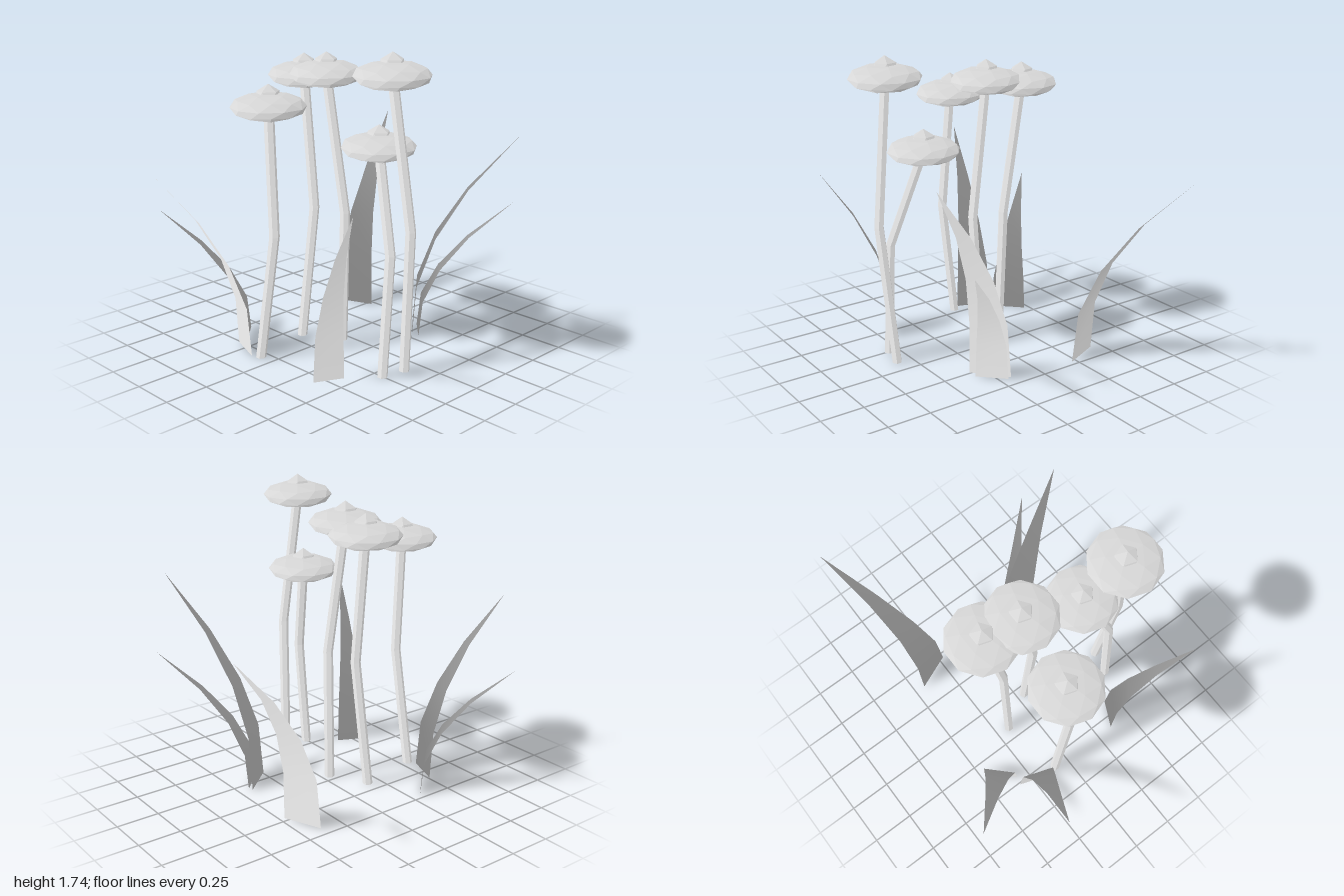
import * as THREE from 'three';

const grey = new THREE.MeshStandardMaterial({ color: 0xd6d6d6, side: THREE.DoubleSide });
grey.name = 'pale grey';

function mesh(geometry, name) {
  const m = new THREE.Mesh(geometry, grey);
  m.name = name;
  return m;
}

// Foliage normals: the surface normal blended half and half with straight up
function foliageNormals(geometry) {
  geometry.computeVertexNormals();
  const normal = geometry.attributes.normal;
  for (let i = 0; i < normal.count; i++) normal.setY(i, normal.getY(i) + 1);
  geometry.normalizeNormals();
  return geometry;
}

// Faceted icosphere with one vertex at the top and one upper-ring vertex towards +x
function icosphere(detail, radius, halfHeight) {
  return foliageNormals(new THREE.IcosahedronGeometry(1, detail)
    .rotateX(-Math.atan((1 + Math.sqrt(5)) / 2))
    .rotateY(Math.PI / 2)
    .scale(radius, halfHeight, radius));
}

// Skin a list of rings (arrays of Vector3); closed rings wrap around and are faceted
function loft(rings, closed) {
  const n = rings[0].length;
  const index = [];
  for (let r = 0; r < rings.length - 1; r++) {
    for (let i = 0; i < (closed ? n : n - 1); i++) {
      const j = (i + 1) % n;
      const a = r * n + i, b = r * n + j, c = a + n, d = b + n;
      index.push(a, b, d, a, d, c);
    }
  }
  const g = new THREE.BufferGeometry().setFromPoints(rings.flat());
  g.setIndex(index);
  return foliageNormals(closed ? g.toNonIndexed() : g);
}

// Six-sided stem with one bend
function stemGeometry(points) {
  const radius = 0.029;
  const rings = points.map(([x, y, z]) => Array.from({ length: 6 }, (_, i) => {
    const a = -i * Math.PI / 3;
    return new THREE.Vector3(x + radius * Math.cos(a), y, z + radius * Math.sin(a));
  }));
  // collapsed ring closes the foot
  const foot = rings[0].map(() => new THREE.Vector3(...points[0]));
  return loft([foot, ...rings], true);
}

// Blade: [height, lean, width] fractions from root to tip
const BLADE = [[0, 0, 1], [0.26, 0.04, 0.9], [0.5, 0.22, 0.64], [0.74, 0.53, 0.34], [1, 1, 0.004]];

function bladeGeometry([ax, az], [bx, bz], [tx, ty, tz]) {
  const cx = (ax + bx) / 2, cz = (az + bz) / 2;
  const hx = (bx - ax) / 2, hz = (bz - az) / 2;
  const rings = BLADE.map(([h, lean, w]) => [-1, 1].map((s) => new THREE.Vector3(
    cx + (tx - cx) * lean + s * hx * w,
    ty * h,
    cz + (tz - cz) * lean + s * hz * w,
  )));
  return loft(rings, false);
}

// Each flower: stem foot, bend, and centre of the head
const FLOWERS = [
  [[-0.165, 0, 0.17], [-0.14, 0.77, 0.09], [-0.245, 1.525, 0.065]],
  [[0.05, 0, 0.05], [0.09, 0.78, 0.07], [-0.025, 1.555, 0.10]],
  [[-0.09, 0, 0.55], [0.008, 0.72, 0.52], [-0.045, 1.42, 0.50]],
  [[0.56, 0, 0.25], [0.56, 0.67, 0.20], [0.385, 1.212, 0.11]],
  [[0.59, 0, 0.11], [0.655, 0.81, 0.15], [0.56, 1.617, 0.20]],
];

// Each leaf: two root corners (x, z) and the tip (x, y, z)
const LEAVES = [
  [[-0.22, -0.47], [-0.435, -0.38], [-0.59, 1.13, -1.0]],
  [[-0.47, 0.31], [-0.32, 0.46], [-0.76, 0.755, 0.73]],
  [[-0.335, 0.51], [-0.135, 0.58], [-0.40, 1.07, 1.0]],
  [[0.33, -0.24], [0.175, -0.42], [0.76, 1.215, -0.61]],
  [[0.33, -0.30], [0.20, -0.43], [0.64, 0.79, -0.75]],
  [[0.355, 0.565], [0.43, 0.41], [0.755, 1.02, 0.67]],
];

export function createModel() {
  const model = new THREE.Group();
  model.name = 'flowerClump';

  const discGeometry = icosphere(1, 0.204, 0.076);
  const capGeometry = icosphere(0, 0.07, 0.07);

  FLOWERS.forEach((points, i) => {
    const flower = new THREE.Group();
    flower.name = `flower${i + 1}`;
    const disc = mesh(discGeometry, 'flowerHead');
    disc.position.set(...points[2]);
    const cap = mesh(capGeometry, 'flowerCap');
    cap.position.set(...points[2]).y += 0.05;
    flower.add(mesh(stemGeometry(points), 'stem'), disc, cap);
    model.add(flower);
  });

  LEAVES.forEach((leaf, i) => model.add(mesh(bladeGeometry(...leaf), `leaf${i + 1}`)));

  return model;
}
